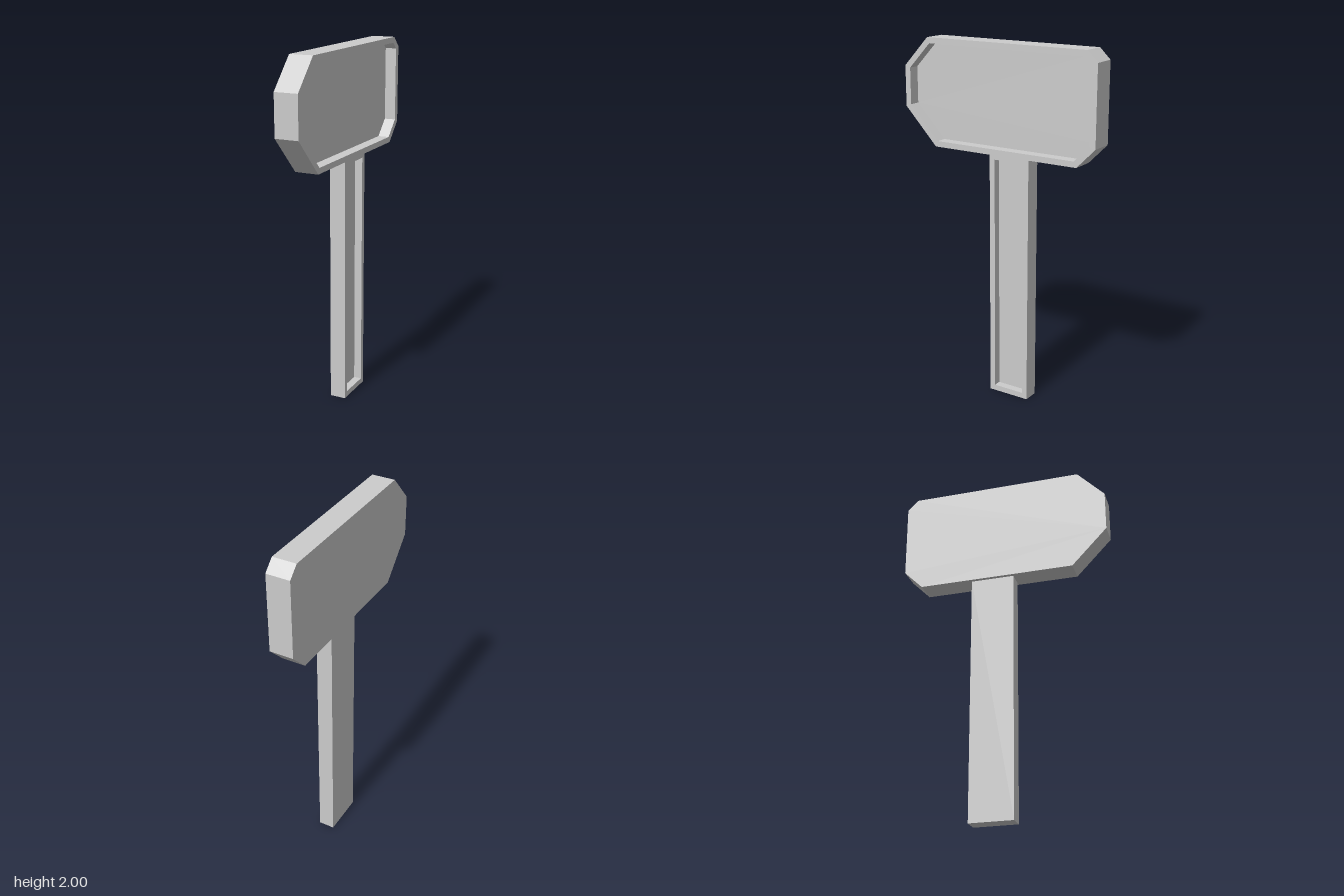
import * as THREE from 'three';

// Solid with a recess in its +x face. Outlines are [z, y] corners,
// counter-clockwise when seen from +x; the recess is as deep as x = floor.
function recessedPanel(name, outer, inner, half, floor, material) {
  const n = outer.length;
  const loops = [[outer, -half], [outer, half], [inner, half], [inner, floor]]
    .map(([pts, x]) => pts.map(([z, y]) => [x, y, z]));
  const pos = [];
  const tri = (a, b, c) => pos.push(...a, ...b, ...c);

  // outer side, rim and recess wall
  for (let k = 0; k < 3; k++) {
    for (let i = 0; i < n; i++) {
      const j = (i + 1) % n;
      const a = loops[k][i], b = loops[k][j], c = loops[k + 1][j], d = loops[k + 1][i];
      tri(a, b, c);
      tri(a, c, d);
    }
  }
  // flat back and recess floor
  for (let i = 1; i < n - 1; i++) {
    tri(loops[0][0], loops[0][i + 1], loops[0][i]);
    tri(loops[3][0], loops[3][i], loops[3][i + 1]);
  }

  const geometry = new THREE.BufferGeometry();
  geometry.setAttribute('position', new THREE.Float32BufferAttribute(pos, 3));
  geometry.computeVertexNormals();
  const mesh = new THREE.Mesh(geometry, material);
  mesh.name = name;
  return mesh;
}

export function createModel() {
  const group = new THREE.Group();
  group.name = 'hammer';
  const material = new THREE.MeshStandardMaterial({ color: 0xcccccc, flatShading: true });

  // head: block with four unequal chamfered corners
  const headOuter = [
    [0.6, 1.61], [0.4, 1.402], [-0.49, 1.402], [-0.597, 1.51],
    [-0.597, 1.942], [-0.537, 2], [0.445, 2], [0.6, 1.837],
  ];
  const headInner = [
    [0.567, 1.622], [0.387, 1.434], [-0.475, 1.434], [-0.563, 1.522],
    [-0.563, 1.932], [-0.523, 1.968], [0.431, 1.968], [0.567, 1.826],
  ];
  group.add(recessedPanel('head', headOuter, headInner, 0.066, 0.002, material));

  // handle: straight bar with a long recess
  const handleOuter = [[0.054, 0], [-0.192, 0], [-0.192, 1.402], [0.054, 1.402]];
  const handleInner = [[0.022, 0.032], [-0.163, 0.032], [-0.163, 1.373], [0.022, 1.373]];
  group.add(recessedPanel('handle', handleOuter, handleInner, 0.045, 0.001, material));

  return group;
}
